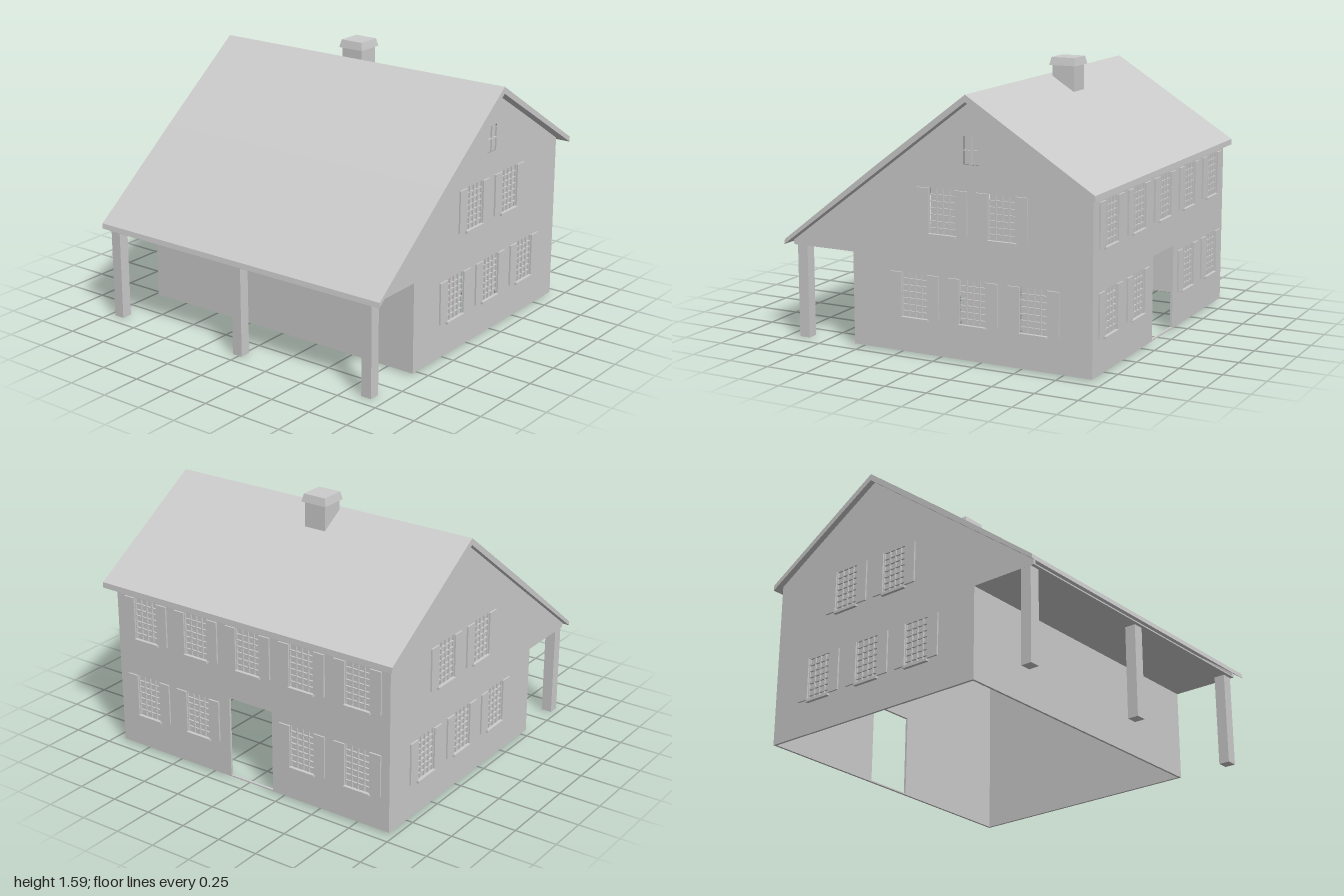
import * as THREE from 'three';

const grey = new THREE.MeshStandardMaterial({ color: 0xcccccc, flatShading: true });
const T = 0.014; // wall thickness

function add(parent, name, geometry, x = 0, y = 0, z = 0) {
  const mesh = new THREE.Mesh(geometry, grey);
  mesh.name = name;
  mesh.position.set(x, y, z);
  parent.add(mesh);
  return mesh;
}

const box = (parent, name, w, h, d, x, y, z) =>
  add(parent, name, new THREE.BoxGeometry(w, h, d), x, y, z);

const polygon = (points) => new THREE.Shape(points.map(([x, y]) => new THREE.Vector2(x, y)));

function rectHole(shape, x, y, w, h) {
  const pts = [[x - w / 2, y], [x - w / 2, y + h], [x + w / 2, y + h], [x + w / 2, y]];
  shape.holes.push(new THREE.Path(pts.map(([a, b]) => new THREE.Vector2(a, b))));
}

// Recessed pane with glazing bars, plus optional sill and open shutters
function addWindow(wall, { x, y, w = 0.16, h = 0.26, cols = 4, rows = 7, shutters = true }) {
  const g = new THREE.Group();
  g.name = 'window';
  g.position.set(x, y, 0);
  wall.add(g);
  box(g, 'pane', w, h, 0.004, 0, h / 2, -T + 0.002);
  for (let i = 1; i < cols; i++) box(g, 'glazingBar', 0.006, h, 0.01, -w / 2 + (w * i) / cols, h / 2, -0.005);
  for (let i = 1; i < rows; i++) box(g, 'glazingBar', w, 0.006, 0.01, 0, (h * i) / rows, -0.005);
  if (!shutters) return;
  box(g, 'sill', w + 0.01, 0.014, 0.02, 0, 0, 0.009);
  for (const s of [-1, 1]) box(g, 'shutter', 0.072, h - 0.01, 0.01, s * (w / 2 + 0.038), h / 2 + 0.005, 0.008);
}

// Wall panel drawn in its own plane, outside towards local +z
function addWall(house, name, outline, windows, door) {
  const wall = new THREE.Group();
  wall.name = name;
  const shape = polygon(outline);
  windows.forEach((o) => rectHole(shape, o.x, o.y, o.w ?? 0.16, o.h ?? 0.26));
  if (door) rectHole(shape, door.x, door.y, door.w, door.h);
  add(wall, name + 'Panel', new THREE.ExtrudeGeometry(shape, { depth: T, bevelEnabled: false }), 0, 0, -T);
  windows.forEach((o) => addWindow(wall, o));
  house.add(wall);
  return wall;
}

export function createModel() {
  const house = new THREE.Group();
  house.name = 'house';
  const left = 0.93, right = -0.965, midX = (left + right) / 2, width = left - right;

  // Gable ends, [z, y]; the front part overhangs the porch
  const gable = [[0.55, 0.01], [0.55, 0.545], [0.95, 0.545], [0.95, 0.575], [0.37, 1.015],
    [-0.21, 1.455], [-0.93, 1.005], [-0.93, 0.01]];
  for (const s of [1, -1]) {
    const at = (z, y, extra = {}) => ({ x: -s * z, y, ...extra });
    const windows = [0.15, -0.215, -0.585].map((z) => at(z, 0.205));
    windows.push(...[-0.03, -0.395].map((z) => at(z, 0.695)));
    if (s > 0) windows.push(at(-0.207, 1.1, { w: 0.09, h: 0.155, cols: 2, rows: 2, shutters: false }));
    const wall = addWall(house, s > 0 ? 'leftGable' : 'rightGable', gable.map(([z, y]) => [-s * z, y]), windows);
    wall.rotation.y = (s * Math.PI) / 2;
    wall.position.x = s > 0 ? left : right;
  }

  // Back wall with two window rows and an open doorway
  const backWindows = [];
  for (let i = -2; i <= 2; i++) {
    const x = 0.023 + i * 0.368;
    backWindows.push({ x, y: 0.695 });
    if (i) backWindows.push({ x, y: 0.205 });
  }
  const back = addWall(house, 'backWall', [[-left, 0.01], [-right, 0.01], [-right, 1.005], [-left, 1.005]],
    backWindows, { x: 0.03, y: 0.018, w: 0.3, h: 0.49 });
  back.rotation.y = Math.PI;
  back.position.z = -0.93;

  // Front wall behind the porch, and the porch ceiling
  box(house, 'frontWall', width, 0.535, T, midX, 0.2775, 0.55 - T / 2);
  box(house, 'porchCeiling', width, 0.008, 0.4, midX, 0.549, 0.75);

  // Porch posts
  for (const x of [-0.932, -0.012, 0.89]) box(house, 'porchPost', 0.065, 0.57, 0.065, x, 0.285, 0.897);

  // Roof slab: long front slope and short back slope, profile in [-z, y]
  const roof = polygon([[-0.965, 0.587], [-0.37, 1.05], [0.21, 1.49], [0.97, 1.015],
    [0.972, 0.982], [0.21, 1.45], [-0.37, 1.01], [-0.97, 0.557]]);
  const roofMesh = add(house, 'roof', new THREE.ExtrudeGeometry(roof, { depth: 2, bevelEnabled: false }), -1);
  roofMesh.rotation.y = Math.PI / 2;

  // Chimney with a tapered cap
  box(house, 'chimney', 0.138, 0.2, 0.138, -0.072, 1.44, -0.3);
  const cap = new THREE.CylinderGeometry(0.145 / Math.SQRT2, 0.166 / Math.SQRT2, 0.046, 4);
  cap.rotateY(Math.PI / 4);
  add(house, 'chimneyCap', cap, -0.072, 1.563, -0.3);

  return house;
}
